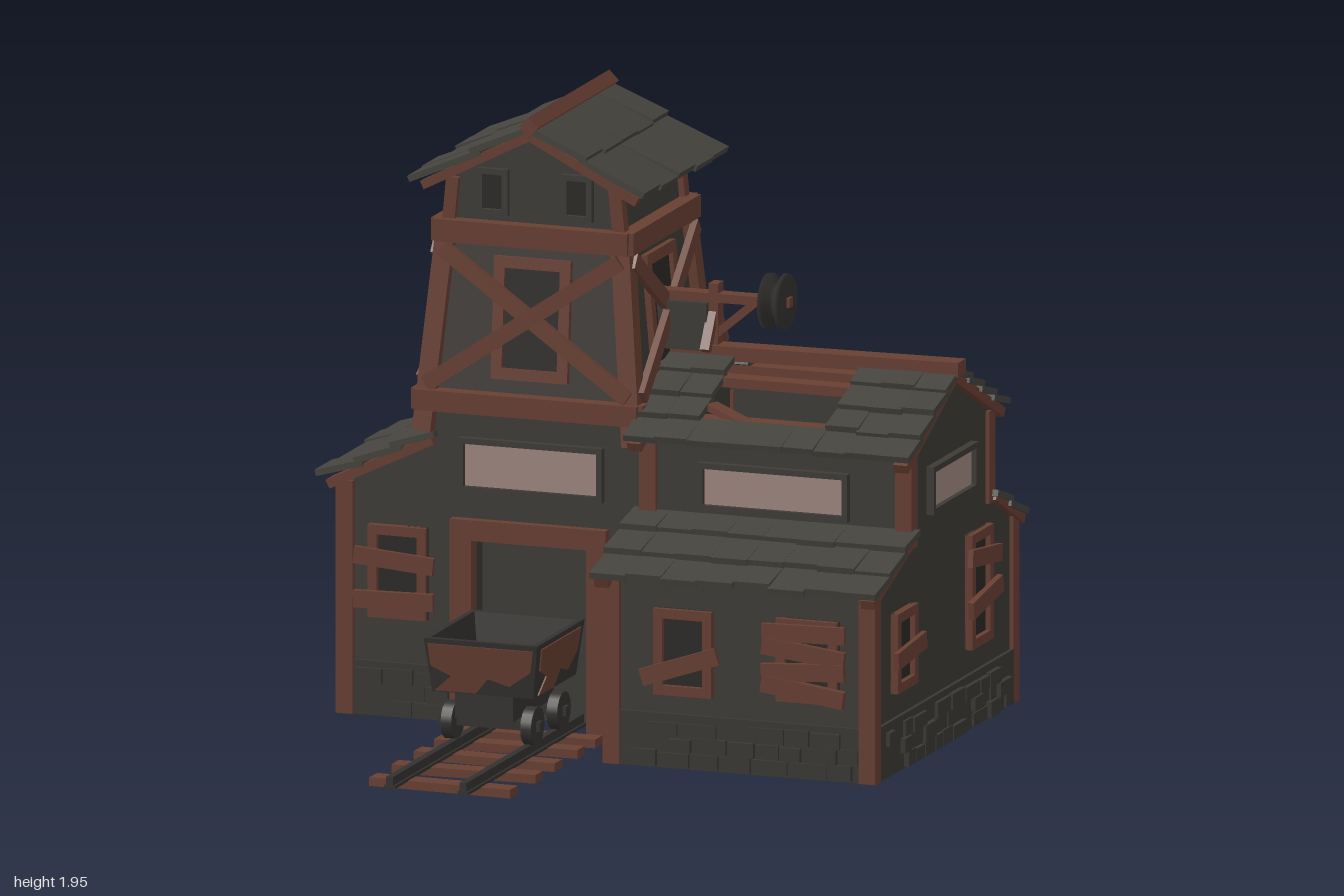
import * as THREE from 'three';

const mat = (name, color, side = THREE.FrontSide) => {
  const m = new THREE.MeshStandardMaterial({ color, side });
  m.name = name;
  return m;
};
const V = (x, y, z) => new THREE.Vector3(x, y, z);

export function createModel() {
  const wall = mat('weathered wall', 0x3e3b36), roof = mat('shingle', 0x45433d), stone = mat('stone', 0x3a3834);
  const wood = mat('old wood', 0x683f32), glass = mat('dusty glass', 0xa08780), iron = mat('iron', 0x34322f);
  const dark = mat('dark opening', 0x2b2926), rust = mat('rust', 0x653e31);
  const model = new THREE.Group();
  model.name = 'oldMineBuilding';

  let seed = 7;
  const rnd = (a, b) => {
    seed = (seed * 16807) % 2147483647;
    return a + (b - a) * seed / 2147483647;
  };
  const add = (name, geo, m, parent = model) => {
    const mesh = new THREE.Mesh(geo, m);
    mesh.name = name;
    parent.add(mesh);
    return mesh;
  };
  const box = (name, x0, x1, y0, y1, z0, z1, m, parent) => {
    const b = add(name, new THREE.BoxGeometry(x1 - x0, y1 - y0, z1 - z0), m, parent);
    b.position.set((x0 + x1) / 2, (y0 + y1) / 2, (z0 + z1) / 2);
    return b;
  };
  // Box running from a to b, w wide and h thick along the up hint
  const beam = (name, a, b, w, h, m, up = V(0, 1, 0), parent = model) => {
    const z = b.clone().sub(a), len = z.length();
    z.normalize();
    const x = up.clone().cross(z).normalize(), y = z.clone().cross(x);
    const mesh = add(name, new THREE.BoxGeometry(w, h, len), m, parent);
    mesh.quaternion.setFromRotationMatrix(new THREE.Matrix4().makeBasis(x, y, z));
    mesh.position.copy(a).add(b).multiplyScalar(0.5);
    return mesh;
  };
  const prism = (name, pts, depth, m, parent) => add(name, new THREE.ExtrudeGeometry(
    new THREE.Shape(pts.map(p => new THREE.Vector2(...p))), { depth, bevelEnabled: false }), m, parent);
  // Group whose local +z points out of a wall
  const face = (name, x, z, ry, y = 0, lean = 0) => {
    const g = new THREE.Group();
    g.name = name;
    g.position.set(x, y, z);
    g.rotation.set(lean, ry, 0, 'YXZ');
    model.add(g);
    return g;
  };
  const frame = (g, x0, x1, y0, y1, t, d, m) => {
    box('frameLeft', x0, x0 + t, y0, y1, 0, d, m, g);
    box('frameRight', x1 - t, x1, y0, y1, 0, d, m, g);
    box('frameTop', x0 + t, x1 - t, y1 - t, y1, 0, d, m, g);
    box('frameBottom', x0 + t, x1 - t, y0, y0 + t, 0, d, m, g);
  };
  // boards: [height, tilt]
  const boardedWindow = (g, x0, x1, y0, y1, boards) => {
    box('windowOpening', x0, x1, y0, y1, 0, 0.008, dark, g);
    frame(g, x0, x1, y0, y1, 0.03, 0.025, wood);
    boards.forEach(([y, tilt], i) => {
      const b = box('windowBoard', x0 - 0.04, x1 + 0.03, y - 0.027, y + 0.027, 0.026, 0.042 + i * 0.003, wood, g);
      b.rotation.z = tilt;
    });
  };
  const glassWindow = (g, x0, x1, y0, y1) => {
    box('windowGlass', x0, x1, y0, y1, 0, 0.008, glass, g);
    frame(g, x0 - 0.015, x1 + 0.015, y0 - 0.015, y1 + 0.015, 0.018, 0.025, wall);
  };
  // Stone footing along a wall
  const footing = (g, x0, x1) => {
    box('footingBand', x0, x1, 0.03, 0.2, -0.01, 0.012, stone, g);
    for (let row = 0; row < 3; row++) {
      for (let x = x0 + rnd(0, 0.06); x < x1 - 0.05;) {
        const w = Math.min(rnd(0.06, 0.13), x1 - x), y = 0.035 + row * 0.048;
        if (rnd(0, 1) > 0.3) box('footingStone', x, x + w - 0.008, y, y + rnd(0.04, 0.052), 0, rnd(0.018, 0.03), stone, g);
        x += w;
      }
    }
  };
  // Rows of overlapping shingles; a is the high corner, b the low corner, along is the length of the roof
  const shingles = (name, a, b, along, cols, rows, skip = () => false) => {
    const g = new THREE.Group();
    g.name = name;
    model.add(g);
    const d = b.clone().sub(a), n = along.clone().cross(d).normalize();
    if (n.y < 0) n.negate();
    for (let r = 0; r < rows; r++) for (let c = 0; c < cols; c++) {
      if (skip(r, c)) continue;
      const s = a.clone().addScaledVector(along, (c + 0.5) / cols);
      const p = s.clone().addScaledVector(d, Math.max(0, (r - 0.15) / rows));
      const q = s.clone().addScaledVector(d, (r + 1 + rnd(-0.06, 0.08)) / rows).addScaledVector(n, rnd(0.014, 0.026));
      beam('shingle', p, q, along.length() / cols * rnd(1, 1.06), 0.02, roof, n, g);
    }
  };

  // Left hall: solid body, front wall notched for the doorway
  const hallTop = [[0.09, 1.02], [-0.62, 1.02], [-0.62, 0.91], [-0.9, 0.77], [-0.9, 0.03]];
  prism('hallBody', [[0.09, 0.03], ...hallTop], 0.56, wall).position.z = -0.66;
  prism('hallFrontWall', [[-0.11, 0.03], [0.09, 0.03], ...hallTop, [-0.5, 0.03], [-0.5, 0.61], [-0.11, 0.61]], 0.1, wall).position.z = -0.1;
  const hallFront = face('hallFront', 0, 0, 0);
  box('doorPostLeft', -0.56, -0.49, 0.03, 0.67, -0.02, 0.03, wood, hallFront);
  box('doorPostRight', -0.115, -0.05, 0.03, 0.67, -0.02, 0.03, wood, hallFront);
  box('doorLintel', -0.49, -0.115, 0.605, 0.67, -0.02, 0.028, wood, hallFront);
  footing(hallFront, -0.88, -0.56);
  footing(hallFront, -0.05, 0.09);
  boardedWindow(hallFront, -0.83, -0.64, 0.34, 0.63, [[0.525, -0.08], [0.4, 0.02]]);
  glassWindow(hallFront, -0.52, -0.08, 0.77, 0.91);
  const hallBack = face('hallBack', 0, -0.66, Math.PI);
  footing(hallBack, -0.08, 0.9);
  boardedWindow(hallBack, 0.62, 0.81, 0.34, 0.62, [[0.53, 0.1], [0.41, -0.05]]);
  glassWindow(hallBack, 0.08, 0.52, 0.77, 0.91);
  const hallLeft = face('hallOuterSide', -0.9, 0, -Math.PI / 2);
  footing(hallLeft, -0.66, 0);
  boardedWindow(hallLeft, -0.42, -0.22, 0.3, 0.6, [[0.54, -0.05], [0.46, 0.08], [0.38, -0.06]]);
  for (const z of [-0.65, -0.01]) {
    box('hallCornerPost', -0.935, -0.88, 0.03, 0.76, z - 0.03, z + 0.03, wood);
    beam('hallRafter', V(-0.96, 0.745, z), V(-0.62, 0.91, z), 0.07, 0.03, wood);
  }
  shingles('hallRoof', V(-0.61, 0.93, -0.71), V(-0.99, 0.755, -0.71), V(0, 0, 0.74), 5, 3);

  // Right house: hollow, with gable ends and raised upper storey
  const gable = [[-0.37, 0.03], [0.86, 0.03], [0.86, 0.62], [0.65, 0.72], [0.65, 1.0], [0.3, 1.16], [-0.05, 1.0], [-0.05, 0.75], [-0.37, 0.62]];
  for (const x of [0.085, 0.92]) prism('houseGableWall', gable, 0.03, wall, face('houseGable', x, 0, Math.PI / 2));
  box('houseFloor', 0.09, 0.95, 0.03, 0.06, -0.86, 0.37, wall);
  box('houseFrontWall', 0.09, 0.95, 0.03, 0.62, 0.34, 0.37, wall);
  box('houseBackWall', 0.09, 0.95, 0.03, 0.62, -0.86, -0.83, wall);
  box('upperFrontWall', 0.09, 0.95, 0.6, 1.0, 0.02, 0.05, wall);
  box('upperBackWall', 0.09, 0.95, 0.6, 1.0, -0.65, -0.62, wall);
  for (const x of [0.1, 0.935]) {
    for (const z of [0.36, -0.85]) box('houseCornerPost', x - 0.027, x + 0.027, 0.03, 0.62, z - 0.027, z + 0.027, wood);
    for (const z of [0.04, -0.64]) box('upperCornerPost', x - 0.027, x + 0.027, 0.7, 0.99, z - 0.027, z + 0.027, wood);
  }
  for (const x of [0.08, 0.95]) {
    for (const [y0, z0, y1, z1] of [[1.165, -0.3, 0.965, 0.13], [1.165, -0.3, 0.965, -0.72], [0.735, 0.05, 0.6, 0.42], [0.72, -0.65, 0.595, -0.9]])
      beam('houseRafter', V(x, y0, z0), V(x, y1, z1), 0.045, 0.03, wood);
  }
  const front = face('houseFront', 0, 0.37, 0), right = face('houseSide', 0.95, 0, Math.PI / 2), back = face('houseBack', 0, -0.86, Math.PI);
  footing(front, 0.12, 0.92);
  footing(right, -0.34, 0.83);
  footing(back, -0.92, -0.12);
  boardedWindow(front, 0.24, 0.43, 0.26, 0.53, [[0.355, 0.33]]);
  const manyBoards = [[0.49, 0.02], [0.43, -0.12], [0.37, 0.06], [0.31, -0.14]];
  boardedWindow(front, 0.64, 0.84, 0.27, 0.53, manyBoards);
  boardedWindow(right, -0.22, -0.04, 0.28, 0.53, [[0.4, 0.08]]);
  boardedWindow(right, 0.43, 0.62, 0.28, 0.64, [[0.56, -0.12], [0.43, 0.14]]);
  boardedWindow(back, -0.84, -0.64, 0.27, 0.53, [[0.36, 0.2], [0.47, -0.1]]);
  boardedWindow(back, -0.43, -0.24, 0.27, 0.53, manyBoards);
  glassWindow(right, 0.11, 0.47, 0.79, 0.91);
  glassWindow(face('upperFront', 0, 0.05, 0), 0.28, 0.74, 0.785, 0.905);
  glassWindow(face('upperBack', 0, -0.65, Math.PI), -0.74, -0.28, 0.785, 0.905);
  // Upper roof has a broken gap showing the purlins
  const gap = (r, c) => r < 3 && c >= 2 && c <= 5;
  const len = V(0.93, 0, 0);
  shingles('upperRoofFront', V(0.05, 1.18, -0.3), V(0.05, 0.98, 0.14), len, 9, 4, gap);
  shingles('upperRoofBack', V(0.05, 1.18, -0.3), V(0.05, 0.98, -0.73), len, 9, 4, gap);
  shingles('lowerRoofFront', V(0.05, 0.75, 0.04), V(0.05, 0.61, 0.43), len, 8, 3);
  shingles('lowerRoofBack', V(0.05, 0.73, -0.64), V(0.05, 0.6, -0.91), len, 8, 2);
  beam('houseRidge', V(0.05, 1.185, -0.3), V(0.99, 1.195, -0.3), 0.07, 0.045, wood);
  for (const [y, z] of [[1.03, -0.63], [1.105, -0.44], [1.12, -0.2], [1.03, -0.02]])
    beam('purlin', V(0.1, y, z), V(0.93, y, z), 0.065, 0.03, wood);
  beam('brokenPlank', V(0.26, 1.07, -0.06), V(0.42, 1.03, 0.01), 0.05, 0.02, wood);

  // Tower: tapered body, braced on four sides
  const cx = -0.305, cz = -0.305;
  const corner = (sx, sz, y, out = 0) => {
    const t = (y - 1.02) / 0.55;
    return V(cx + sx * (0.335 - 0.05 * t + out), y, cz + sz * (0.315 - 0.05 * t + out));
  };
  const bodyGeo = new THREE.CylinderGeometry(0.285 * Math.SQRT2, 0.335 * Math.SQRT2, 0.55, 4, 1)
    .rotateY(Math.PI / 4).scale(1, 1, 0.935).toNonIndexed();
  bodyGeo.computeVertexNormals();
  add('towerBody', bodyGeo, wall).position.set(cx, 1.295, cz);
  const corners = [[-1, 1], [1, 1], [1, -1], [-1, -1]];
  corners.forEach(([sx, sz], i) => {
    const [tx, tz] = corners[(i + 1) % 4];
    const out = V(sx + tx, 0, sz + tz).normalize();
    const push = (p, k) => p.addScaledVector(out, k);
    beam('towerPost', corner(sx, sz, 0.94), corner(sx, sz, 1.57), 0.06, 0.06, wood, V(0, 0, 1));
    beam('towerBottomBand', push(corner(sx, sz, 1.04, 0.03), -0.01), push(corner(tx, tz, 1.04, 0.03), -0.01), 0.05, 0.065, wood);
    beam('towerTopBand', push(corner(sx, sz, 1.565, 0.03), -0.01), push(corner(tx, tz, 1.565, 0.03), -0.01), 0.05, 0.07, wood);
    beam('towerBrace', push(corner(sx, sz, 1.09), 0.035), push(corner(tx, tz, 1.51), 0.035), 0.05, 0.022, wood, out);
    beam('towerBrace', push(corner(sx, sz, 1.51), 0.03), push(corner(tx, tz, 1.09), 0.03), 0.05, 0.022, wood, out);
    const mid = corner(sx, sz, 1.3).add(corner(tx, tz, 1.3)).multiplyScalar(0.5);
    const g = face('towerWindow', mid.x, mid.z, Math.atan2(out.x, out.z), 1.3, -0.09);
    box('windowOpening', -0.12, 0.12, -0.18, 0.19, 0, 0.006, dark, g);
    frame(g, -0.125, 0.125, -0.185, 0.195, 0.035, 0.02, wood);
  });

  // Tower cabin with gabled roof
  prism('cabinWalls', [[-0.28, 1.58], [0.28, 1.58], [0.265, 1.73], [0, 1.88], [-0.265, 1.73]], 0.53, wall).position.set(cx, 0, -0.57);
  for (const s of [-1, 1]) {
    const g = face('cabinGable', cx, s > 0 ? -0.04 : -0.57, s > 0 ? 0 : Math.PI);
    for (const x of [-0.135, 0.14]) {
      box('cabinOpening', x - 0.045, x + 0.045, 1.625, 1.76, 0, 0.006, dark, g);
      frame(g, x - 0.05, x + 0.05, 1.62, 1.765, 0.018, 0.02, wall);
    }
    for (const x of [-0.27, 0.27]) beam('cabinPost', V(x * 1.03, 1.59, 0), V(x * 0.98, 1.73, 0), 0.04, 0.04, wood, V(0, 0, 1), g);
    for (const z of [0, -0.64]) beam('cabinRafter', V(cx, 1.885, z), V(cx + s * 0.35, 1.705, z), 0.035, 0.028, wood);
    shingles('cabinRoof', V(cx, 1.905, -0.675), V(cx + s * 0.375, 1.71, -0.675), V(0, 0, 0.69), 5, 2);
  }
  const ridge = beam('cabinRidge', V(cx, 1.915, -0.685), V(cx, 1.915, 0.025), 0.045, 0.045, wood);
  ridge.rotateZ(Math.PI / 4);

  // Hoist arm with pulley wheel
  box('hoistMount', 0, 0.17, 1.19, 1.34, -0.35, -0.26, wall);
  beam('hoistArm', V(0, 1.355, -0.305), V(0.37, 1.355, -0.305), 0.05, 0.028, wood);
  box('hoistPost', 0.17, 0.2, 1.18, 1.4, -0.33, -0.28, wood);
  beam('hoistBrace', V(0.19, 1.24, -0.305), V(0.32, 1.35, -0.305), 0.035, 0.025, wood);
  for (const s of [-1, 1]) beam('hoistStrut', V(0.18, 1.33, -0.305), V(0.18, 1.2, -0.305 + s * 0.08), 0.03, 0.025, wood);
  const wheelProfile = [[0, -0.035], [0.085, -0.035], [0.088, -0.02], [0.055, -0.008], [0.055, 0.008], [0.088, 0.02], [0.085, 0.035], [0, 0.035]];
  const pulley = add('hoistPulley', new THREE.LatheGeometry(wheelProfile.map(p => new THREE.Vector2(...p)), 20), iron);
  pulley.rotation.z = Math.PI / 2;
  pulley.position.set(0.385, 1.355, -0.305);
  box('pulleyAxle', 0.33, 0.43, 1.34, 1.37, -0.32, -0.29, wood);

  // Rails and sleepers
  for (const x of [-0.42, -0.18]) {
    box('railFoot', x - 0.018, x + 0.018, 0.025, 0.035, -0.94, 0.93, iron);
    box('railHead', x - 0.011, x + 0.011, 0.035, 0.062, -0.94, 0.93, iron);
  }
  for (const [z, turn] of [[0.05, 0], [0.21, 0.02], [0.395, -0.03], [0.58, 0.03], [0.785, -0.03]])
    box('sleeper', -0.53, -0.065, 0, 0.027, z - 0.033, z + 0.033, wood).rotation.y = turn;

  // Mine cart
  const tub = [[0, 0.22], [0.165, 0.22], [0.185, 0.39], [0.168, 0.39], [0.15, 0.25], [0, 0.25]];
  const tubGeo = new THREE.LatheGeometry(tub.map(([r, y]) => new THREE.Vector2(r * Math.SQRT2, y)), 4)
    .rotateY(Math.PI / 4).scale(1, 1, 1.13).toNonIndexed();
  tubGeo.computeVertexNormals();
  add('cartTub', tubGeo, iron).position.set(-0.305, 0, 0.235);
  const patch = [[-0.155, 0], [-0.02, 0], [0.02, 0.05], [0.09, 0.03], [0.16, 0.08], [0.172, 0.15], [-0.172, 0.15], [-0.165, 0.08], [-0.1, 0.05]];
  for (const [x, z, ry] of [[-0.305, 0.423, 0], [-0.139, 0.235, Math.PI / 2], [-0.471, 0.235, -Math.PI / 2]])
    prism('cartRustPatch', patch, 0.005, rust, face('cartRust', x, z, ry, 0.225, 0.12));
  box('cartChassis', -0.4, -0.21, 0.14, 0.22, 0.06, 0.41, iron);
  for (const z of [0.12, 0.35]) {
    beam('cartAxle', V(-0.47, 0.12, z), V(-0.14, 0.12, z), 0.03, 0.03, iron);
    for (const x of [-0.43, -0.17]) {
      const w = add('cartWheel', new THREE.CylinderGeometry(0.06, 0.06, 0.035, 16), iron);
      w.rotation.z = Math.PI / 2;
      w.position.set(x, 0.12, z);
    }
  }
  return model;
}
